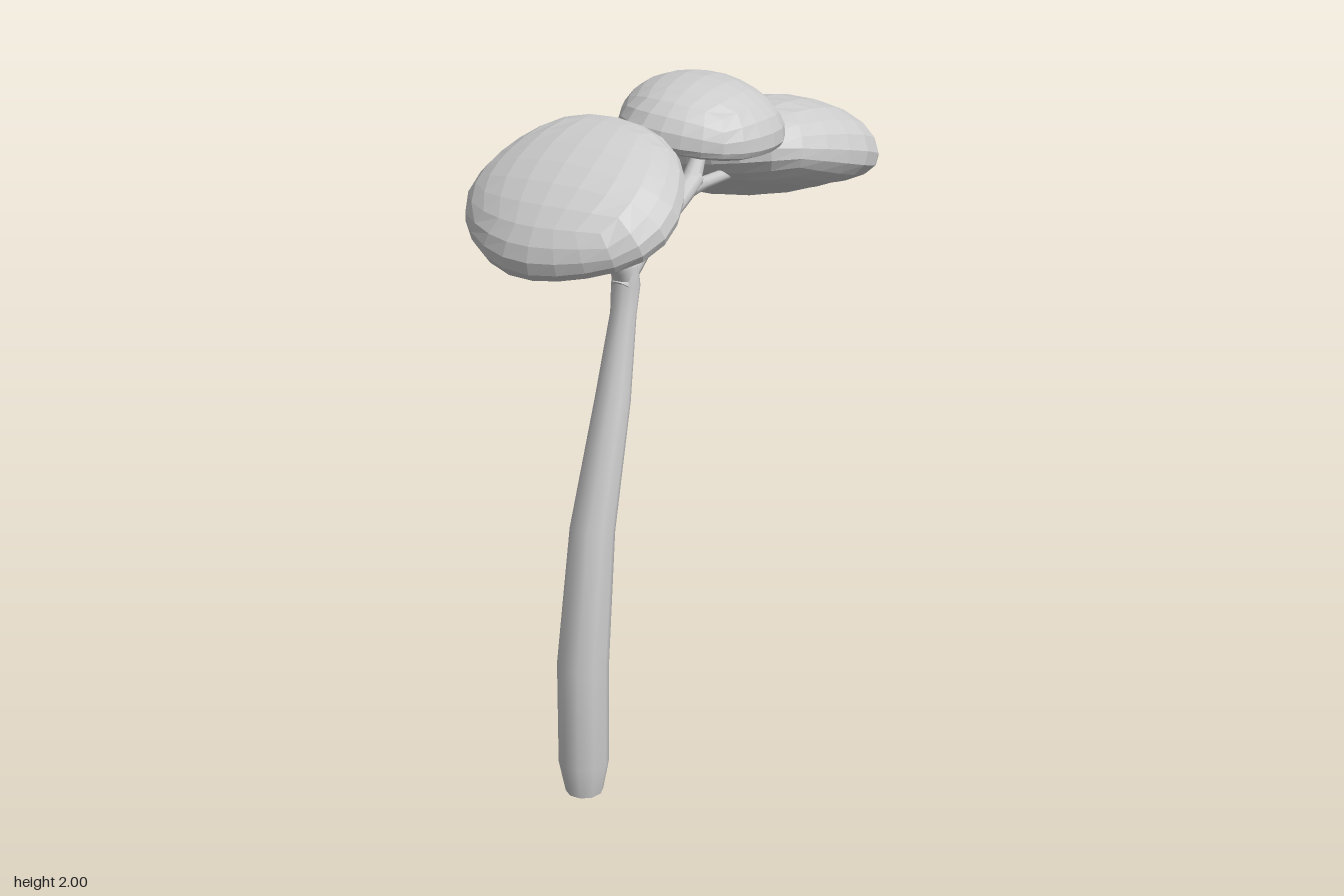
import * as THREE from 'three';

const X = 0.03; // plane in which trunk and branches bend
const SIDES = 10;

// Tapered limb through [z, y, radius] stations, closed at both ends
function limb(name, stations, material) {
  const pos = [], index = [];
  const at = i => stations[Math.max(0, Math.min(stations.length - 1, i))];
  stations.forEach(([z, y, r], i) => {
    const a = at(i - 1), b = at(i + 1);
    const len = Math.hypot(b[0] - a[0], b[1] - a[1]);
    const tz = (b[0] - a[0]) / len, ty = (b[1] - a[1]) / len;
    for (let k = 0; k < SIDES; k++) {
      const t = (k / SIDES) * Math.PI * 2;
      const u = Math.cos(t) * r, w = Math.sin(t) * r;
      pos.push(X + u, y + w * tz, z - w * ty);
    }
  });
  const last = (stations.length - 1) * SIDES;
  for (let i = 0; i < stations.length - 1; i++) {
    for (let k = 0; k < SIDES; k++) {
      const a = i * SIDES + k, b = i * SIDES + (k + 1) % SIDES;
      index.push(a, b, b + SIDES, a, b + SIDES, a + SIDES);
    }
  }
  // End caps on their own vertices so their edges stay sharp
  for (const [start, flip] of [[0, true], [last, false]]) {
    const base = pos.length / 3;
    pos.push(...pos.slice(start * 3, (start + SIDES) * 3));
    for (let k = 1; k < SIDES - 1; k++) {
      index.push(base, base + (flip ? k + 1 : k), base + (flip ? k : k + 1));
    }
  }
  const geo = new THREE.BufferGeometry();
  geo.setAttribute('position', new THREE.Float32BufferAttribute(pos, 3));
  geo.setIndex(index);
  geo.computeVertexNormals();
  const mesh = new THREE.Mesh(geo, material);
  mesh.name = name;
  return mesh;
}

// Faceted leaf cushion: a cube rounded to a dome with a shallower underside
function canopy(name, { center, rx, rz, up, down, pitch, roll, phase }, material) {
  const geo = new THREE.BoxGeometry(2, 2, 2, 6, 6, 6);
  const p = geo.attributes.position, v = new THREE.Vector3();
  const even = c => Math.tan(c * Math.PI / 4);
  for (let i = 0; i < p.count; i++) {
    v.fromBufferAttribute(p, i);
    v.set(even(v.x), even(v.y), even(v.z)).normalize();
    const flat = Math.hypot(v.x, v.z), ang = Math.atan2(v.z, v.x);
    const wob = 1 + 0.025 * flat * Math.sin(3 * ang + phase) + 0.015 * flat * Math.sin(5 * ang - phase);
    // Underside bulges only gently and keeps a blunt rim
    const lift = v.y > 0 ? up * v.y : -down * Math.pow(-v.y, 0.8) * (1 + 0.12 * Math.sin(4 * v.x + 3 * v.z + phase));
    p.setXYZ(i, v.x * rx * wob, lift, v.z * rz * wob);
  }
  geo.computeVertexNormals();
  const mesh = new THREE.Mesh(geo, material);
  mesh.name = name;
  mesh.position.set(...center);
  mesh.rotation.set(pitch, 0, roll);
  return mesh;
}

export function createModel() {
  const group = new THREE.Group();
  group.name = 'tree';
  const bark = new THREE.MeshStandardMaterial({ color: 0xcccccc });
  const leaves = new THREE.MeshStandardMaterial({ color: 0xcccccc, flatShading: true });

  // Leaning trunk and its forked branches
  group.add(
    limb('trunk', [
      [0.70, 0, 0.056], [0.70, 0.1, 0.075], [0.695, 0.42, 0.076], [0.63, 0.82, 0.066],
      [0.505, 1.18, 0.052], [0.44, 1.42, 0.038], [0.425, 1.5, 0.042], [0.425, 1.56, 0.036],
    ], bark),
    limb('frontBranch', [
      [0.415, 1.48, 0.03], [0.45, 1.56, 0.034], [0.5, 1.62, 0.024], [0.55, 1.68, 0.022], [0.58, 1.74, 0.018],
    ], bark),
    limb('rearBranch', [
      [0.45, 1.5, 0.03], [0.4, 1.55, 0.036], [0.31, 1.585, 0.025], [0.17, 1.635, 0.025],
      [0.07, 1.685, 0.032], [0.02, 1.71, 0.032],
    ], bark),
    limb('middleTwig', [
      [0.08, 1.67, 0.025], [0.03, 1.71, 0.03], [-0.01, 1.765, 0.022], [-0.04, 1.83, 0.018],
    ], bark),
    limb('rearTwig', [
      [0.09, 1.675, 0.025], [0.03, 1.685, 0.03], [-0.04, 1.675, 0.02], [-0.2, 1.663, 0.018], [-0.36, 1.65, 0.016],
    ], bark),
  );

  // Three leaf cushions
  group.add(
    canopy('frontCanopy', {
      center: [-0.05, 1.775, 0.55], rx: 0.315, rz: 0.3, up: 0.14, down: 0.1, pitch: 0.5, roll: -0.03, phase: 0.5,
    }, leaves),
    canopy('middleCanopy', {
      center: [0.015, 1.845, -0.045], rx: 0.245, rz: 0.252, up: 0.155, down: 0.055, pitch: -0.02, roll: -0.12, phase: 2,
    }, leaves),
    canopy('rearCanopy', {
      center: [0.005, 1.64, -0.475], rx: 0.36, rz: 0.365, up: 0.195, down: 0.11, pitch: -0.3, roll: 0.18, phase: 4,
    }, leaves),
  );
  return group;
}
